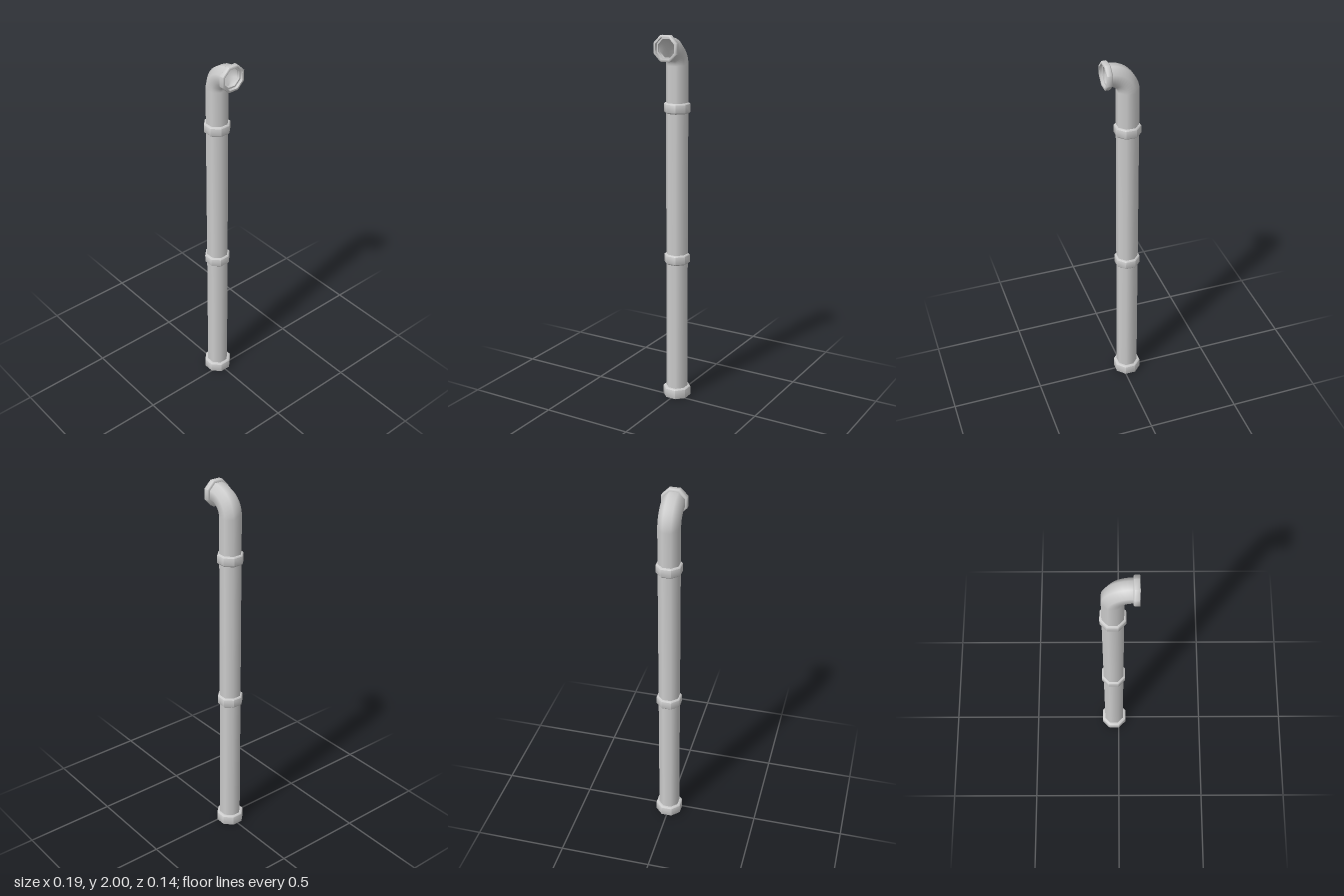
import * as THREE from 'three';
import { toCreasedNormals } from 'three/addons/utils/BufferGeometryUtils.js';

const SIDES = 8;
const TURN = Math.PI / SIDES;        // puts the octagon's flats on the axes
const K = 1 / Math.cos(TURN);        // flat distance -> corner radius
const AXIS_X = -0.028;
const PIPE = 0.054;
const BEND = 0.095;
const BEND_Y = 1.84;

const material = new THREE.MeshStandardMaterial({ color: 0xcccccc, side: THREE.DoubleSide });

function add(group, name, geometry, x, y) {
  const mesh = new THREE.Mesh(geometry, material);
  mesh.name = name;
  mesh.position.set(x, y, 0);
  group.add(mesh);
  return mesh;
}

function lathe(profile) {
  const points = profile.map(([r, y]) => new THREE.Vector2(r * K, y));
  return toCreasedNormals(new THREE.LatheGeometry(points, SIDES, TURN), 0.9);
}

// Octagonal ring around the pipe with chamfered edges
function collar(r, h) {
  const c = 0.007;
  return lathe([[PIPE - 0.002, 0], [r - c, 0], [r, c], [r, h - c], [r - c, h], [PIPE - 0.002, h]]);
}

// End socket: open mouth at y = 0, stepped inside down to the pipe bore
function socket(r, h) {
  const c = 0.005, mouth = r - 0.011, bore = 0.047;
  return lathe([
    [bore, h], [bore, h * 0.5], [mouth, h * 0.5], [mouth, 0], [r - 0.002, 0],
    [r, 0.002], [r, h - c], [r - c, h], [PIPE - 0.002, h],
  ]);
}

function pipe(height, rows = 1) {
  return new THREE.CylinderGeometry(PIPE * K, PIPE * K, height, SIDES, rows, true, TURN)
    .translate(0, height / 2, 0);
}

// Quarter bend: a straight pipe curled towards +x
function elbow() {
  const geometry = pipe(BEND * Math.PI / 2, 10);
  const p = geometry.attributes.position, n = geometry.attributes.normal;
  for (let i = 0; i < p.count; i++) {
    const a = p.getY(i) / BEND, cos = Math.cos(a), sin = Math.sin(a);
    const reach = BEND - p.getX(i), nx = n.getX(i);
    p.setXY(i, BEND - reach * cos, reach * sin);
    n.setXY(i, nx * cos, -nx * sin);
  }
  return geometry;
}

export function createModel() {
  const group = new THREE.Group();
  group.name = 'drainPipe';

  // Straight run and bend
  add(group, 'straightPipe', pipe(BEND_Y - 0.025), AXIS_X, 0.025);
  add(group, 'elbow', elbow(), AXIS_X, BEND_Y);

  // Joint collars
  add(group, 'lowerCollar', collar(0.064, 0.055), AXIS_X, 0.776);
  add(group, 'upperCollar', collar(0.064, 0.055), AXIS_X, 1.594);

  // Open ends
  add(group, 'baseSocket', socket(0.07, 0.056), AXIS_X, 0);
  const outlet = add(group, 'outletSocket', socket(0.066, 0.031), 0.097, BEND_Y + BEND);
  outlet.rotation.z = Math.PI / 2;

  return group;
}
